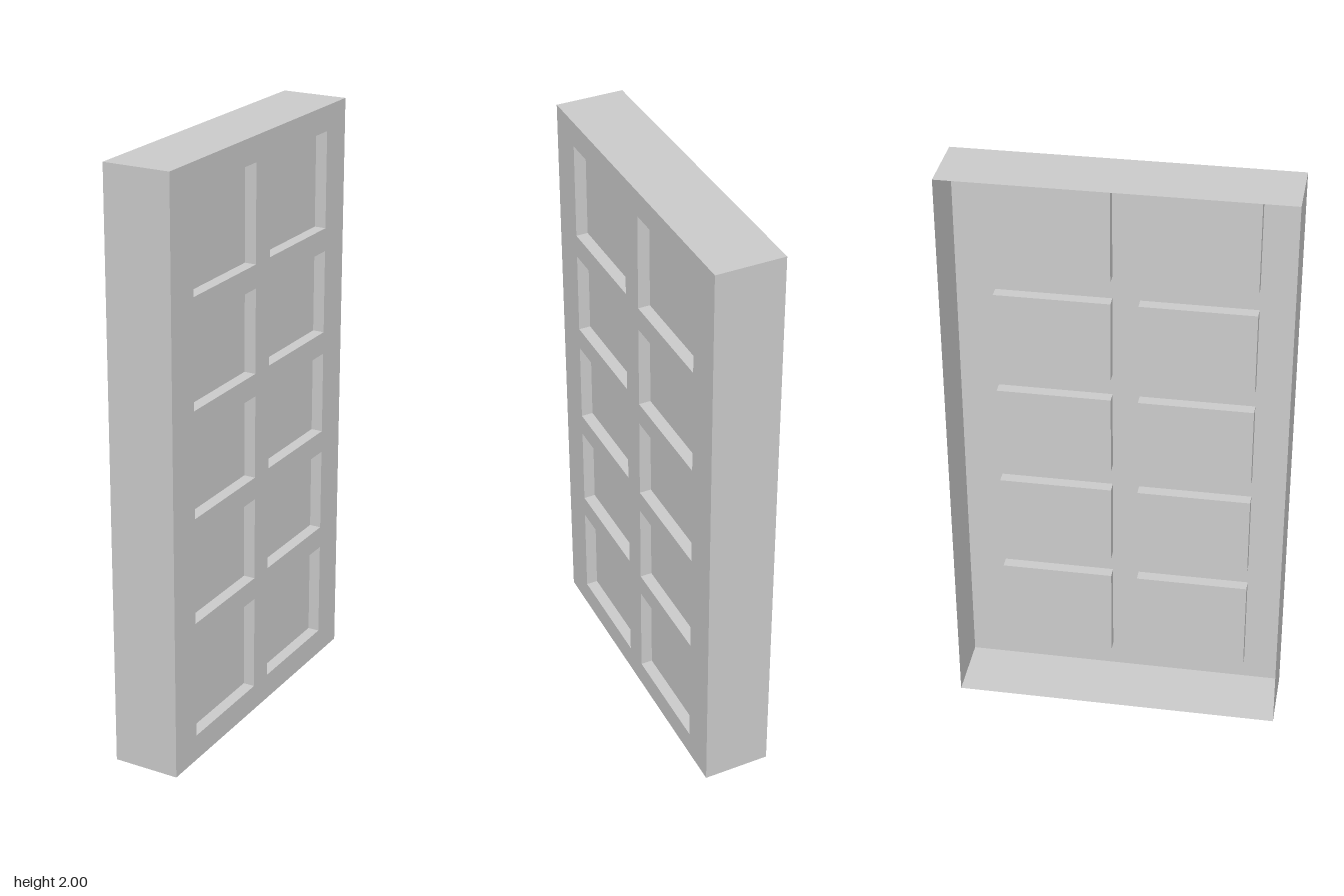
import * as THREE from 'three';
import { mergeGeometries } from 'three/addons/utils/BufferGeometryUtils.js';

const WIDTH = 1.11, HEIGHT = 2, DEPTH = 0.228, RECESS = 0.04;
const COLUMNS = [[-0.427, -0.045], [0.045, 0.427]];
const ROWS = [[0.09, 0.42], [0.497, 0.784], [0.861, 1.145], [1.222, 1.508], [1.587, 1.915]];

const material = new THREE.MeshStandardMaterial({ color: 0xcccccc, side: THREE.DoubleSide });

function mesh(name, geometry) {
  const m = new THREE.Mesh(geometry, material);
  m.name = name;
  return m;
}

// Four thin walls around a rectangle, running from depth z0 to z1; normals point outward.
function sleeve([x0, x1], [y0, y1], z0, z1) {
  const w = x1 - x0, h = y1 - y0, d = z1 - z0;
  const cx = (x0 + x1) / 2, cy = (y0 + y1) / 2, cz = (z0 + z1) / 2;
  return mergeGeometries([
    new THREE.PlaneGeometry(d, h).rotateY(Math.PI / 2).translate(x1, cy, cz),
    new THREE.PlaneGeometry(d, h).rotateY(-Math.PI / 2).translate(x0, cy, cz),
    new THREE.PlaneGeometry(w, d).rotateX(-Math.PI / 2).translate(cx, y1, cz),
    new THREE.PlaneGeometry(w, d).rotateX(Math.PI / 2).translate(cx, y0, cz),
  ]);
}

// Adds a rectangle to a shape or hole path.
function rectangle(path, [x0, x1], [y0, y1]) {
  path.moveTo(x0, y0);
  path.lineTo(x1, y0);
  path.lineTo(x1, y1);
  path.lineTo(x0, y1);
  path.closePath();
  return path;
}

export function createModel() {
  const group = new THREE.Group();
  group.name = 'panelledDoor';
  const across = [-WIDTH / 2, WIDTH / 2], up = [0, HEIGHT], face = DEPTH / 2;

  // Outer walls, open at the back
  group.add(mesh('outerWalls', sleeve(across, up, -face, face)));

  // Face plate with a hole for every recessed panel
  const plate = rectangle(new THREE.Shape(), across, up);
  for (const column of COLUMNS) {
    for (const row of ROWS) {
      plate.holes.push(rectangle(new THREE.Path(), column, row));

      // Recessed panel: side walls and a flat bottom
      const pocket = new THREE.Group();
      pocket.name = 'recessedPanel';
      const bottom = new THREE.PlaneGeometry(column[1] - column[0], row[1] - row[0])
        .translate((column[0] + column[1]) / 2, (row[0] + row[1]) / 2, face - RECESS);
      pocket.add(
        mesh('panelWalls', sleeve(column, row, face - RECESS, face)),
        mesh('panelBottom', bottom),
      );
      group.add(pocket);
    }
  }
  group.add(mesh('facePlate', new THREE.ShapeGeometry(plate).translate(0, 0, face)));

  // Turn the panelled face towards +x
  group.rotation.y = Math.PI / 2;
  const model = new THREE.Group();
  model.name = 'door';
  model.add(group);
  return model;
}
